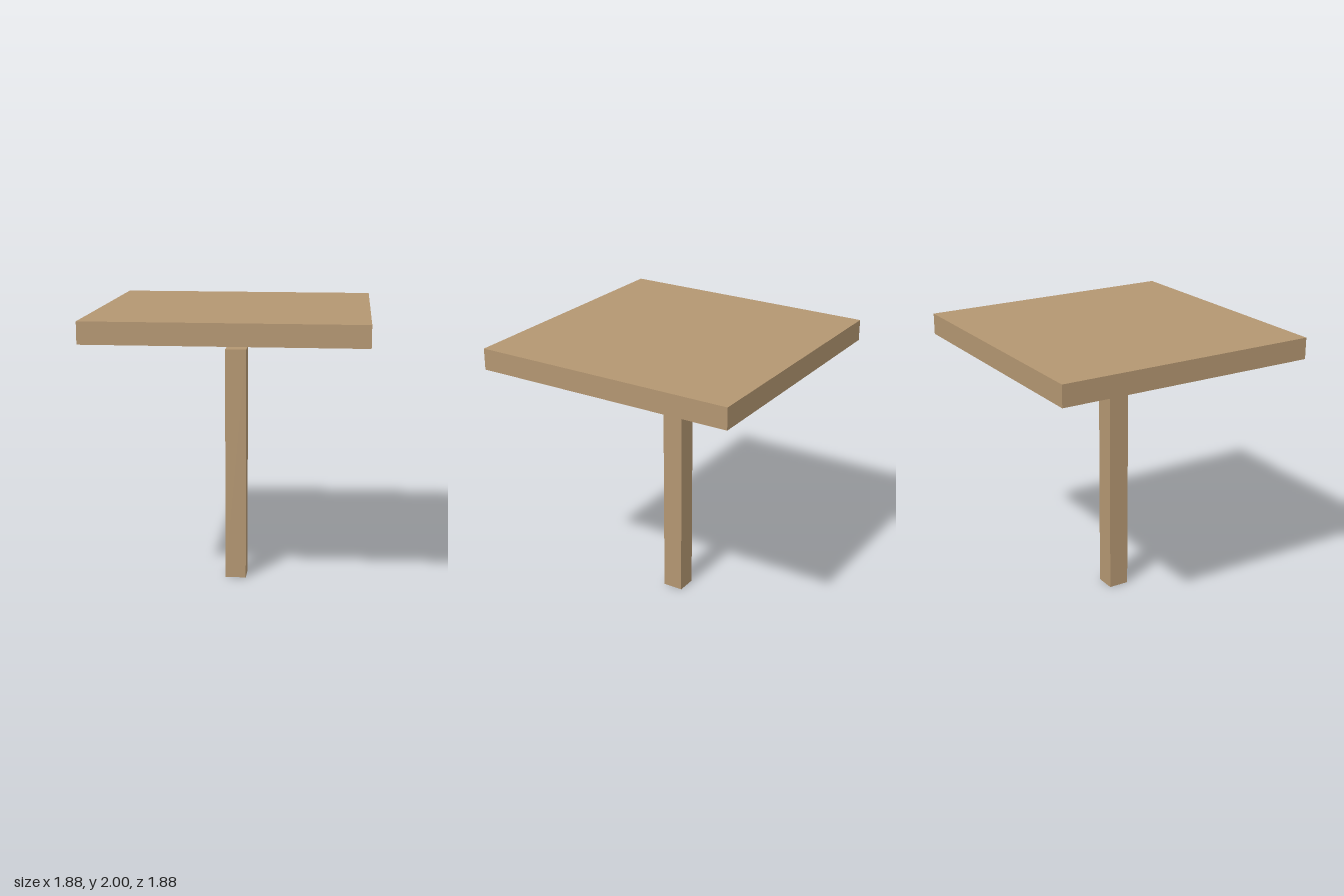
import * as THREE from 'three';

export function createModel() {
  const group = new THREE.Group();
  group.name = 'pedestalTable';
  const wood = new THREE.MeshStandardMaterial({ color: 0xb39671 });

  // Adds a square block of the given width, spanning bottom to top
  const addBlock = (name, width, bottom, top) => {
    const mesh = new THREE.Mesh(new THREE.BoxGeometry(width, top - bottom, width), wood);
    mesh.name = name;
    mesh.position.y = (bottom + top) / 2;
    group.add(mesh);
  };

  // Central post, and the square top floating just above it
  addBlock('post', 0.15, 0, 1.7);
  addBlock('tableTop', 1.88, 1.85, 2);

  return group;
}
